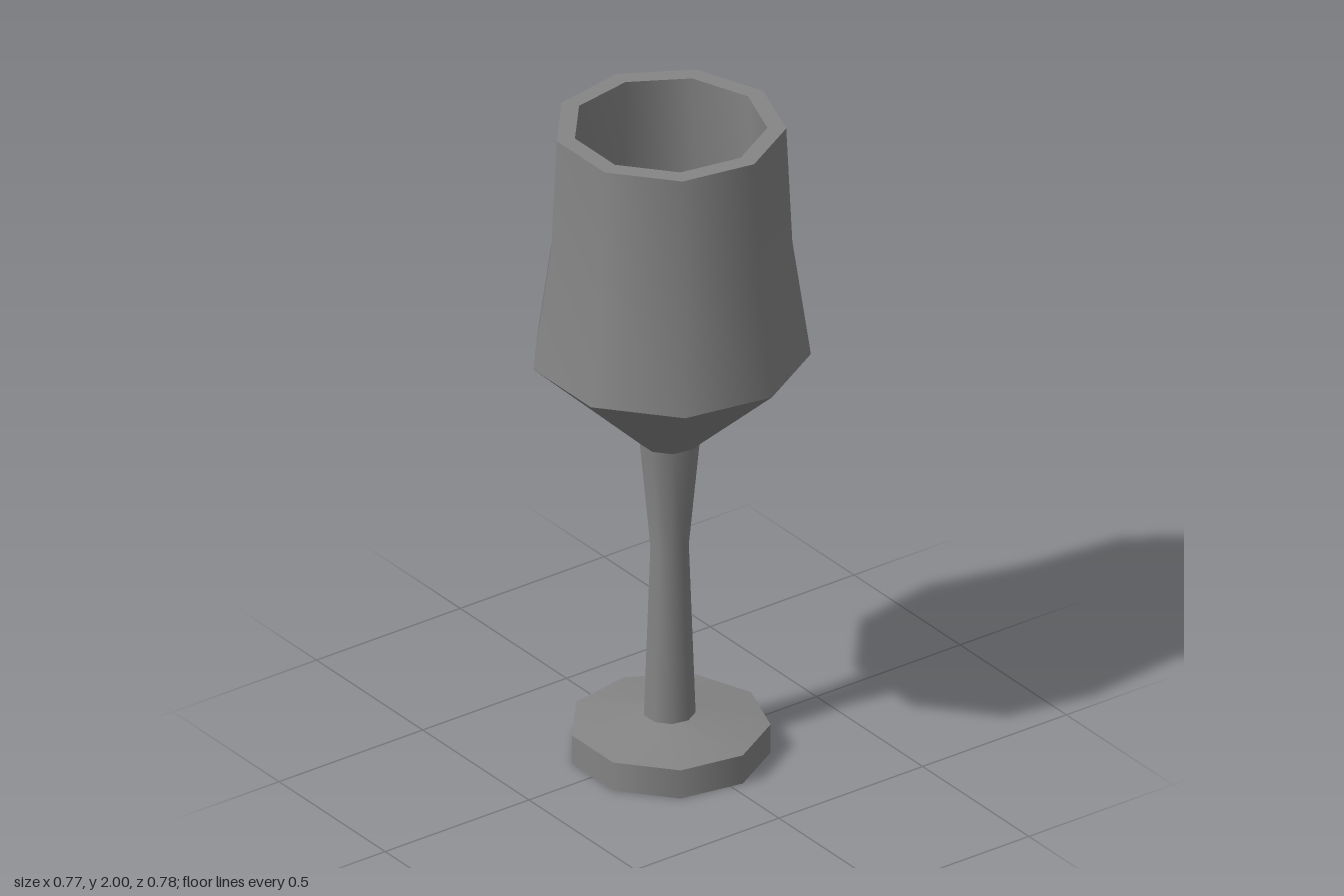
import * as THREE from 'three';

const SIDES = 9;

export function createModel() {
  const goblet = new THREE.Group();
  goblet.name = 'goblet';
  const material = new THREE.MeshStandardMaterial({ color: 0x858585 });

  // Nine-sided turned section with one corner on +x; profile is [radius, y] pairs.
  // Separate sections keep the edges between them sharp.
  function turned(name, profile) {
    const points = profile.map(([r, y]) => new THREE.Vector2(r, y));
    const mesh = new THREE.Mesh(new THREE.LatheGeometry(points, SIDES, Math.PI / 2), material);
    mesh.name = name;
    mesh.position.x = -0.012; // centres the odd-sided outline
    goblet.add(mesh);
  }

  // Foot
  turned('footUnderside', [[0, 0], [0.284, 0]]);
  turned('footRim', [[0.284, 0], [0.284, 0.09]]);
  turned('footTop', [[0.284, 0.09], [0.074, 0.122]]);

  // Stem with a narrow waist
  turned('stem', [[0.074, 0.122], [0.055, 0.66], [0.086, 0.993]]);

  // Bowl outside
  turned('bowlBase', [[0.086, 0.993], [0.397, 1.28]]);
  turned('bowlWall', [[0.397, 1.28], [0.345, 1.64], [0.328, 2]]);

  // Flat lip and hollow inside with a gently rounded floor
  turned('lip', [[0.328, 2], [0.275, 2]]);
  turned('bowlInside', [[0.275, 2], [0.291, 1.64], [0.325, 1.32], [0.06, 1.07], [0, 1.07]]);

  return goblet;
}
